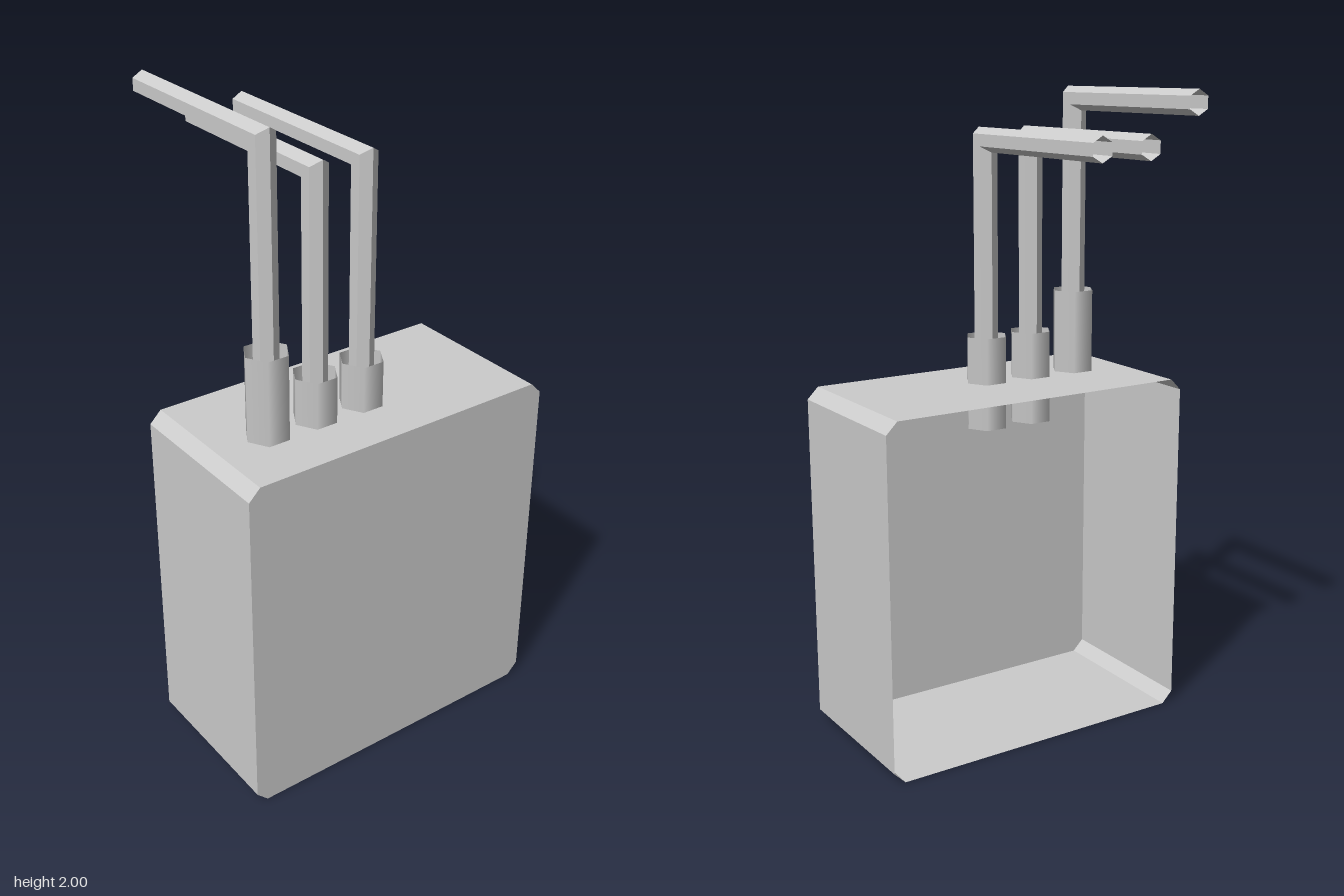
import * as THREE from 'three';

const flatGrey = new THREE.MeshStandardMaterial({ color: 0xcccccc, flatShading: true, side: THREE.DoubleSide });
const smoothGrey = new THREE.MeshStandardMaterial({ color: 0xcccccc, side: THREE.DoubleSide });

// Open skin through closed rings of [x, y, z] points, faceted
function loft(rings) {
  const pos = [];
  for (let i = 0; i < rings.length - 1; i++) {
    const a = rings[i], b = rings[i + 1], n = a.length;
    for (let j = 0; j < n; j++) {
      const k = (j + 1) % n;
      pos.push(...a[j], ...a[k], ...b[k], ...a[j], ...b[k], ...b[j]);
    }
  }
  const geo = new THREE.BufferGeometry();
  geo.setAttribute('position', new THREE.Float32BufferAttribute(pos, 3));
  geo.computeVertexNormals();
  return geo;
}

function add(parent, name, geo, mat) {
  const mesh = new THREE.Mesh(geo, mat);
  mesh.name = name;
  parent.add(mesh);
  return mesh;
}

// Chamfered thin casing, open at the back
function makeCasing() {
  const casing = new THREE.Group();
  casing.name = 'casing';
  const w = 0.522, h = 1.107, c = 0.036, back = -0.11, front = 0.405;
  const outline = [
    [-w + c, 0], [w - c, 0], [w, c], [w, h - c],
    [w - c, h], [-w + c, h], [-w, h - c], [-w, c],
  ];
  add(casing, 'casingWalls', loft([back, front].map(z => outline.map(([x, y]) => [x, y, z]))), flatGrey);
  const panel = new THREE.ShapeGeometry(new THREE.Shape(outline.map(p => new THREE.Vector2(...p))));
  add(casing, 'frontPanel', panel, flatGrey).position.z = front;
  return casing;
}

// Hexagonal collar with a mitred pipe bent towards the back
function makePipe(x, lift) {
  const unit = new THREE.Group();
  unit.name = 'pipeUnit';
  const z = 0.19, r = 0.0365, collarLength = 0.29, collarTop = 1.252;

  const collarGeo = new THREE.CylinderGeometry(0.068, 0.068, collarLength, 6, 1, true, Math.PI / 6);
  add(unit, 'collar', collarGeo, smoothGrey).position.set(0, collarTop - collarLength / 2, z);

  const hex = Array.from({ length: 6 }, (_, i) => [r * Math.sin(i * Math.PI / 3), r * Math.cos(i * Math.PI / 3)]);
  const bendY = 1.847;
  add(unit, 'bentPipe', loft([
    hex.map(([u, v]) => [u, 1.11, z + v]),
    hex.map(([u, v]) => [u, bendY + v, z + v]),
    hex.map(([u, v]) => [u, bendY + v, -0.405]),
  ]), flatGrey);

  unit.position.set(x, lift, 0);
  return unit;
}

export function createModel() {
  const model = new THREE.Group();
  model.name = 'casingWithPipes';
  model.add(makeCasing());
  for (const [x, lift] of [[-0.316, 0.117], [-0.153, 0], [0.01, 0]]) model.add(makePipe(x, lift));
  return model;
}
